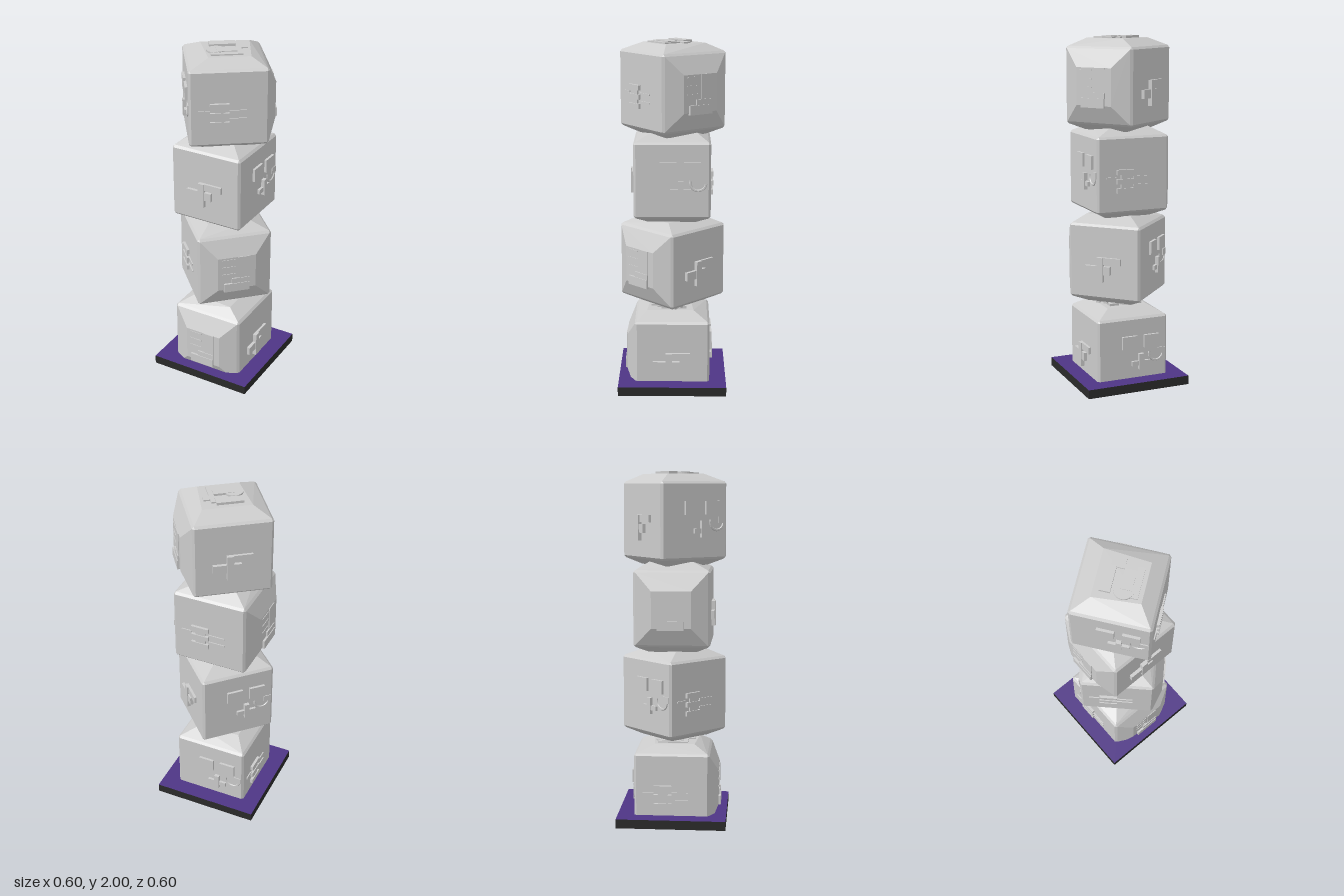
import * as THREE from 'three';
import { ConvexGeometry } from 'three/addons/geometries/ConvexGeometry.js';

const grey = new THREE.MeshStandardMaterial({ color: 0xcccccc, flatShading: true });
const dark = new THREE.MeshStandardMaterial({ color: 0x2a2a2a });
const purple = new THREE.MeshStandardMaterial({ color: 0x4e3585 });

const HALF = 0.208, BEVEL = 0.012, SUNK = 0.18;
const SIGNS = [-1, 1];

// Bevelled cube whose top, bottom and +z faces swell to a smaller plateau
function blockGeometry() {
  const points = [], inner = HALF - BEVEL;
  const add = (x, y, z) => points.push(new THREE.Vector3(x, y, z));
  for (const a of SIGNS) for (const b of SIGNS) {
    for (const c of SIGNS) {
      add(a * HALF, b * inner, c * inner);
      add(a * inner, b * HALF, c * inner);
      add(a * inner, b * inner, c * HALF);
    }
    add(a * 0.121 - 0.007, 0.249, b * 0.12 + 0.011 + a * b * 0.01);
    add(a * 0.13, -0.243, b * 0.13);
    add(a * 0.107, b * 0.1, 0.254);
  }
  return new ConvexGeometry(points);
}

// Bar of width w and height h centred at (u, v) on a face, rising to the given height
function bar(face, u, v, w, h, top) {
  const mesh = new THREE.Mesh(new THREE.BoxGeometry(w, h, top - SUNK), grey);
  mesh.position.set(u, v, (top + SUNK) / 2);
  mesh.name = 'reliefBar';
  face.add(mesh);
}

// Evenly spaced bars stacked downwards
function barRow(face, count, step, u, v, w, h, top) {
  for (let i = 0; i < count; i++) bar(face, u, v - i * step, w, h, top);
}

// Bent panel with a raised foot and three thin dashes
function frontRelief(face) {
  bar(face, -0.003, -0.085, 0.145, 0.05, 0.266);
  bar(face, 0.037, 0.015, 0.065, 0.17, 0.258);
  bar(face, 0.02, -0.045, 0.1, 0.03, 0.262);
  barRow(face, 3, 0.045, -0.047, 0.087, 0.075, 0.005, 0.257);
}

// Stepped cross of two arms and a stem
function sideRelief(face) {
  bar(face, 0.033, 0.011, 0.135, 0.038, 0.222);
  bar(face, -0.034, -0.042, 0.148, 0.047, 0.226);
  bar(face, -0.018, -0.039, 0.036, 0.138, 0.23);
}

// Two squares over a small upturned T with a curved hook beside it
function backRelief(face) {
  for (const s of SIGNS) bar(face, 0.043 + s * 0.065, 0.068, 0.089, 0.073, 0.222);
  bar(face, 0.045, -0.055, 0.11, 0.026, 0.222);
  bar(face, 0.046, -0.045, 0.028, 0.09, 0.228);
  bar(face, 0.172, 0.002, 0.045, 0.035, 0.213);
  const hook = new THREE.Mesh(new THREE.TorusGeometry(0.042, 0.008, 6, 18, Math.PI * 1.2), grey);
  hook.rotation.z = Math.PI * 0.9;
  hook.position.set(0.14, -0.01, 0.206);
  hook.name = 'reliefHook';
  face.add(hook);
}

// Three short bars on a spine, with thin strips to either side
function barRelief(face) {
  barRow(face, 3, 0.05, -0.05, 0.018, 0.1, 0.027, 0.223);
  bar(face, -0.047, -0.03, 0.055, 0.1, 0.218);
  bar(face, -0.13, -0.012, 0.06, 0.009, 0.214);
  barRow(face, 2, 0.044, 0.045, -0.012, 0.09, 0.009, 0.214);
}

// Broad bar, angled border, tab and a round-ended panel
function topRelief(face) {
  bar(face, 0.057, 0.01, 0.055, 0.14, 0.262);
  bar(face, -0.041, -0.004, 0.058, 0.107, 0.26);
  bar(face, -0.088, 0, 0.036, 0.166, 0.256);
  bar(face, -0.023, -0.07, 0.166, 0.026, 0.256);
  bar(face, 0.011, -0.1, 0.042, 0.035, 0.256);
  const disc = new THREE.Mesh(new THREE.CylinderGeometry(0.05, 0.05, 0.078, 24), grey);
  disc.rotation.x = Math.PI / 2;
  disc.position.set(-0.031, 0.05, 0.219);
  disc.name = 'reliefDisc';
  face.add(disc);
}

// Pair of joined bars and a low panel
function bottomRelief(face) {
  barRow(face, 2, 0.045, 0.07, 0.08, 0.08, 0.02, 0.26);
  bar(face, 0.07, 0.057, 0.03, 0.065, 0.254);
  bar(face, -0.04, -0.035, 0.08, 0.07, 0.25);
}

function makeBlock(geometry) {
  const block = new THREE.Group();
  const body = new THREE.Mesh(geometry, grey);
  body.name = 'blockBody';
  block.add(body);
  const addFace = (build, pitch, yaw) => {
    const face = new THREE.Group();
    face.name = build.name;
    face.rotation.set(pitch, yaw, 0);
    build(face);
    block.add(face);
  };
  // Reliefs run round the four sides, then cover top and bottom
  [frontRelief, sideRelief, backRelief, barRelief].forEach((build, i) => addFace(build, 0, i * Math.PI / 2));
  addFace(topRelief, -Math.PI / 2, 0);
  addFace(bottomRelief, Math.PI / 2, 0);
  return block;
}

export function createModel() {
  const model = new THREE.Group();
  model.name = 'stackedBlocks';

  // Slab around the foot of the lowest block: dark with a purple top
  const slab = new THREE.Mesh(
    new THREE.BoxGeometry(0.6, 0.05, 0.6),
    [dark, dark, purple, dark, dark, dark],
  );
  slab.position.y = 0.096;
  slab.name = 'baseSlab';
  model.add(slab);

  // Four identical blocks, each turned differently: [centre height, yaw in degrees]
  const geometry = blockGeometry();
  [[0.26, 0], [0.78, 45], [1.267, -90], [1.738, 126]].forEach(([y, yaw], i) => {
    const block = makeBlock(geometry);
    block.name = `block${i + 1}`;
    block.position.y = y;
    block.rotation.y = THREE.MathUtils.degToRad(yaw);
    model.add(block);
  });
  return model;
}
